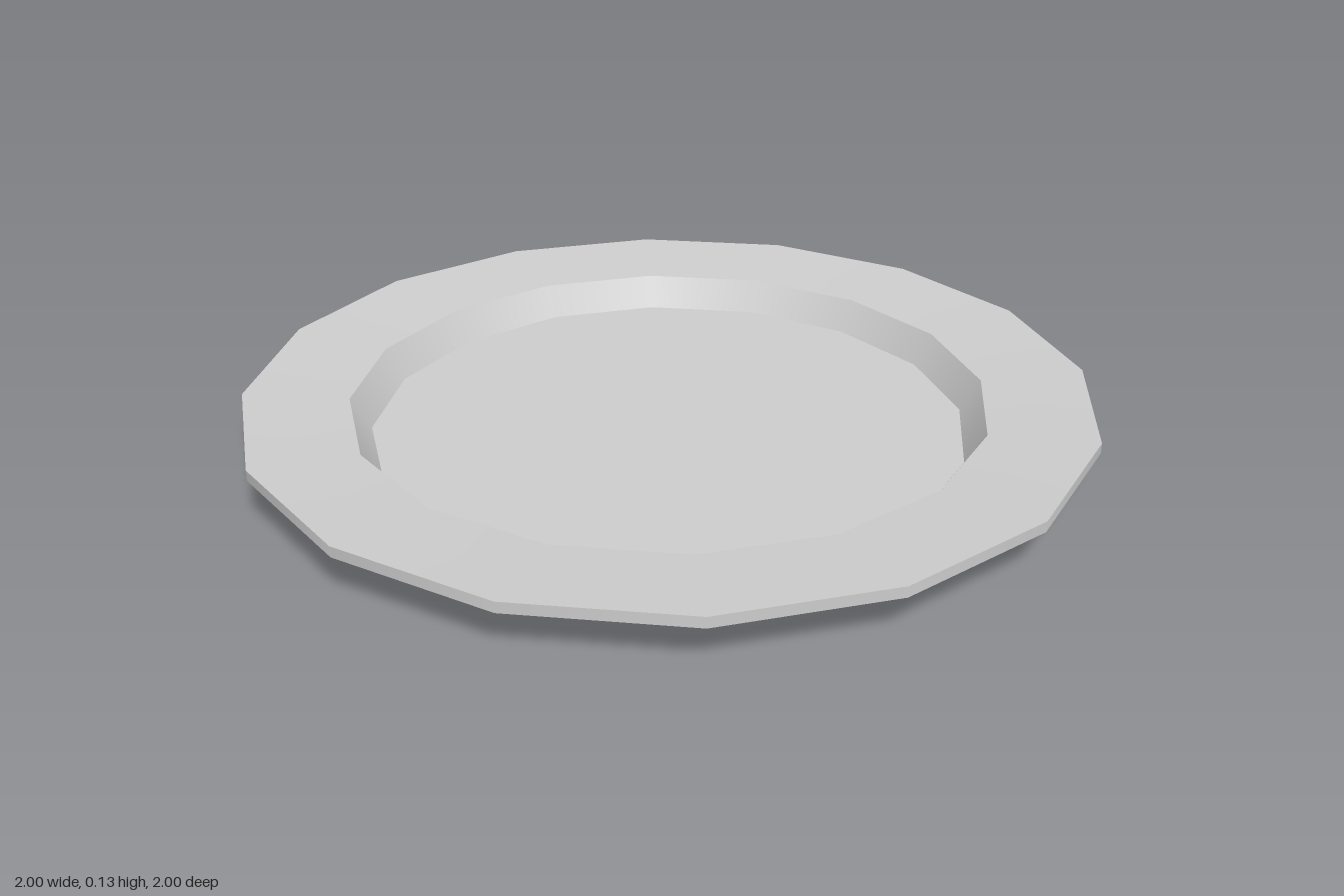
import * as THREE from 'three';

const SIDES = 16;

// Profile from the underside centre, out around the rim, to the floor centre
const PROFILE = [
  [0, 0], [0.75, 0], [0.785, 0.033], [1, 0.102],
  [1, 0.127], [0.753, 0.107], [0.707, 0.03], [0, 0.03],
];
const BANDS = ['base', 'foot', 'underside', 'rimEdge', 'rim', 'innerWall', 'floor'];

export function createModel() {
  const plate = new THREE.Group();
  plate.name = 'plate';
  const grey = new THREE.MeshStandardMaterial({ color: 0xcccccc });
  grey.name = 'light grey';

  // Each band is smooth around the plate and creased against its neighbours
  BANDS.forEach((name, i) => {
    const points = [PROFILE[i], PROFILE[i + 1]].map(([r, y]) => new THREE.Vector2(r, y));
    const band = new THREE.Mesh(new THREE.LatheGeometry(points, SIDES), grey);
    band.name = name;
    plate.add(band);
  });
  return plate;
}
